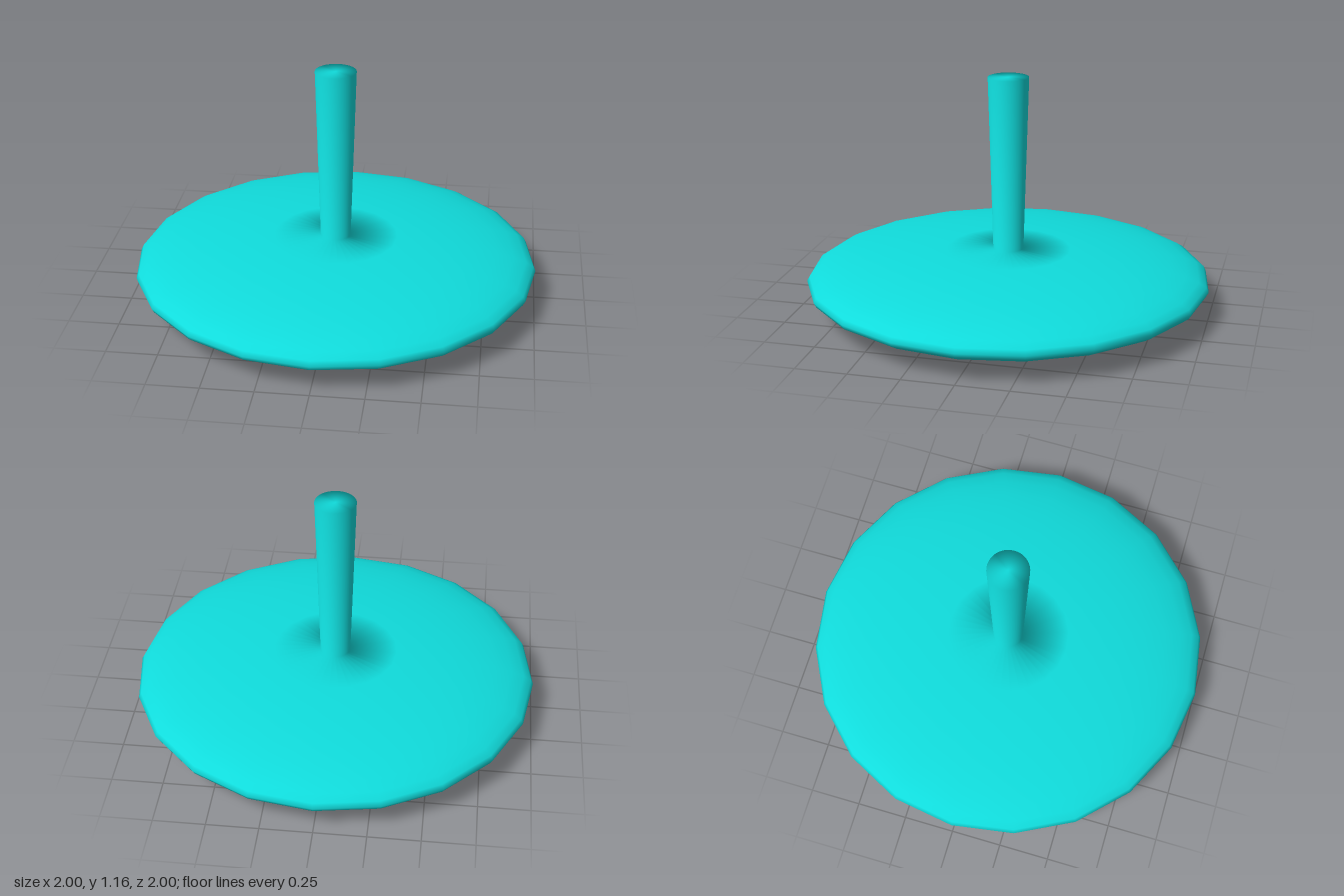
import * as THREE from 'three';

const SIDES = 20;        // corners of the disc outline
const HALF = 0.15;       // half thickness of the disc

export function createModel() {
  const group = new THREE.Group();
  const material = new THREE.MeshStandardMaterial({ color: 0x10dcdc });

  // Elliptical disc profile, from the bottom centre up to the ring around the stem
  const profile = [];
  for (let deg = -90; deg <= 72; deg += 9) {
    const a = THREE.MathUtils.degToRad(deg);
    profile.push(new THREE.Vector2(Math.max(0, Math.cos(a)), HALF + HALF * Math.sin(a)));
  }
  // Stem widening upwards, closed by a flat top
  profile.push(
    new THREE.Vector2(0.075, 0.3),
    new THREE.Vector2(0.1, 1.165),
    new THREE.Vector2(0, 1.165),
  );

  // Twice as many segments keep the stem round
  const geometry = new THREE.LatheGeometry(profile, SIDES * 2);

  // Pull every second column of the disc in, so its outline has straight sides
  const pos = geometry.attributes.position;
  const flat = Math.cos(Math.PI / SIDES);
  for (let i = 0; i < pos.count; i++) {
    const column = Math.floor(i / profile.length);
    const r = Math.hypot(pos.getX(i), pos.getZ(i));
    if (column % 2 === 1 && r > 0.11) {
      pos.setX(i, pos.getX(i) * flat);
      pos.setZ(i, pos.getZ(i) * flat);
    }
  }

  const mesh = new THREE.Mesh(geometry, material);
  mesh.name = 'discWithStem';
  group.add(mesh);
  return group;
}
